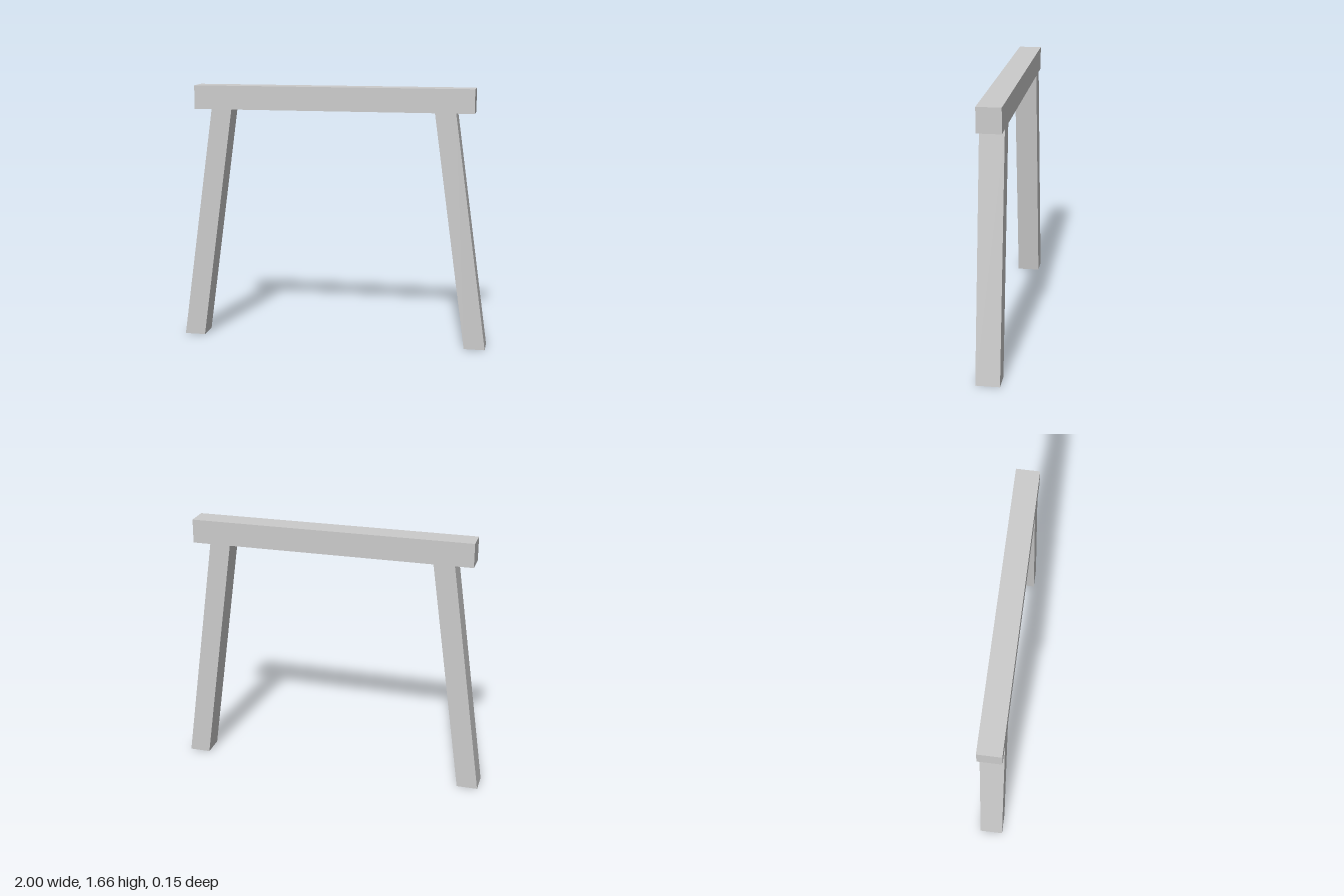
import * as THREE from 'three';

const DEPTH = 0.148;
const BEAM_BOTTOM = 1.512;
const BEAM_TOP = 1.664;

// Slanted leg: a parallelogram outline, cut level at floor and beam
function makeLeg(side, material) {
  const outline = [[0.866, 0], [1, 0], [0.788, BEAM_BOTTOM], [0.656, BEAM_BOTTOM]];
  const shape = new THREE.Shape(outline.map(([x, y]) => new THREE.Vector2(side * x, y)));
  const geometry = new THREE.ExtrudeGeometry(shape, { depth: DEPTH, bevelEnabled: false });
  geometry.translate(0, 0, -DEPTH / 2);
  const leg = new THREE.Mesh(geometry, material);
  leg.name = side > 0 ? 'leftLeg' : 'rightLeg';
  return leg;
}

export function createModel() {
  const model = new THREE.Group();
  model.name = 'trestle';
  const material = new THREE.MeshStandardMaterial({ color: 0xcccccc, flatShading: true });

  // Horizontal beam resting on the legs
  const beam = new THREE.Mesh(new THREE.BoxGeometry(1.804, BEAM_TOP - BEAM_BOTTOM, DEPTH), material);
  beam.name = 'beam';
  beam.position.y = (BEAM_TOP + BEAM_BOTTOM) / 2;
  model.add(beam);

  // Mirrored pair of splayed legs
  for (const side of [-1, 1]) model.add(makeLeg(side, material));

  return model;
}
